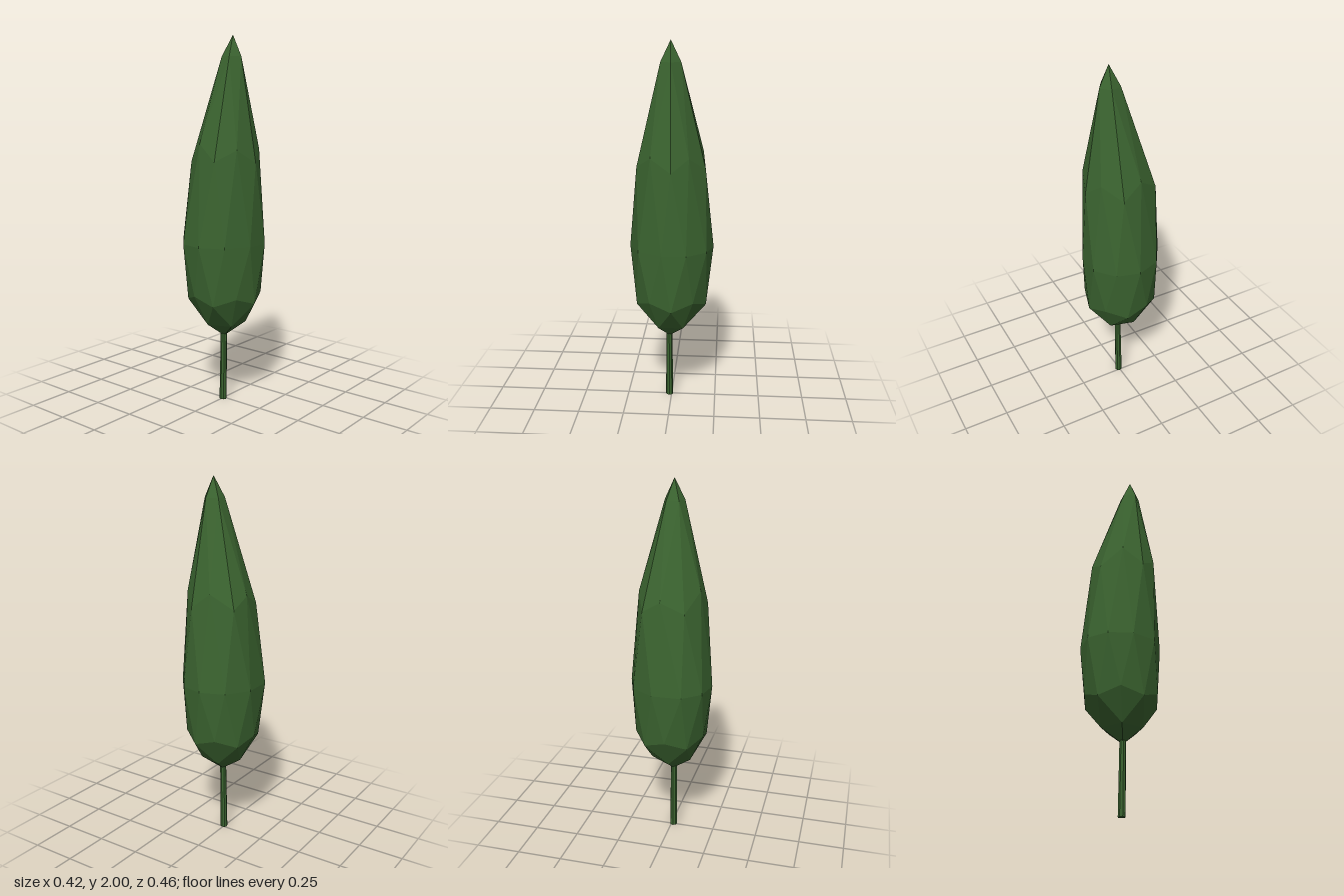
import * as THREE from 'three';

const START = -0.05; // angle of the first facet column

// Ring of n points round (cx, cz); heights alternate between yEven and yOdd
function ring(n, r, yEven, yOdd, cx, cz, turn = 0) {
  return Array.from({ length: n }, (_, i) => {
    const a = START + turn + (i * Math.PI * 2) / n;
    return [cx + r * Math.cos(a), i % 2 ? yOdd : yEven, cz + r * Math.sin(a)];
  });
}

// Faceted crown: a stretched icosphere made of six levels and two tips
function crownGeometry() {
  const step = Math.PI / 5;
  const top = [0.06, 2, 0];
  const neck = ring(5, 0.056, 1.89, 1.89, 0.057, 0);
  const shoulder = [
    [0.205, 1.34, -0.01], [0.165, 1.41, 0.1], [0.08, 1.35, 0.18], [-0.03, 1.44, 0.165], [-0.14, 1.34, 0.105],
    [-0.16, 1.4, -0.02], [-0.145, 1.34, -0.12], [-0.03, 1.42, -0.17], [0.075, 1.34, -0.185], [0.16, 1.41, -0.1],
  ];
  const belly = [
    [0.21, 0.04], [0.14, 0.17], [0.01, 0.227], [-0.12, 0.2], [-0.205, 0.105],
    [-0.21, -0.055], [-0.13, -0.18], [0, -0.23], [0.125, -0.195], [0.21, -0.09],
  ].map(([x, z]) => [x, 0.9, z]);
  const hip = ring(10, 0.2, 0.58, 0.62, 0.003, 0);
  const foot = ring(5, 0.115, 0.45, 0.45, 0.008, 0.003, step);
  const bottom = [0.01, 0.37, 0.01];

  const verts = [];
  const tri = (...points) => points.forEach((p) => verts.push(...p));
  // Zigzag bands between ten-sided levels
  const band = (u, d) => {
    for (let j = 0; j < 10; j++) {
      const k = (j + 1) % 10;
      tri(u[j], u[k], d[j]);
      tri(u[k], d[k], d[j]);
    }
  };
  band(shoulder, belly);
  // The belly sits half a step ahead of the hip
  band(belly, [...hip.slice(1), hip[0]]);

  for (let i = 0; i < 5; i++) {
    const n = (i + 1) % 5;
    // Upper cap
    const s = shoulder, e = 2 * i, prev = (e + 9) % 10;
    tri(top, neck[n], neck[i]);
    tri(neck[i], s[e], s[prev]);
    tri(neck[i], s[e + 1], s[e]);
    tri(neck[i], neck[n], s[e + 1]);
    // Lower cap
    const c = 2 * i + 1, next = (c + 1) % 10;
    tri(bottom, foot[i], foot[n]);
    tri(foot[i], hip[c - 1], hip[c]);
    tri(foot[i], hip[c], hip[next]);
    tri(foot[i], hip[next], foot[n]);
  }
  const geometry = new THREE.BufferGeometry();
  geometry.setAttribute('position', new THREE.Float32BufferAttribute(verts, 3));
  geometry.computeVertexNormals();
  return geometry;
}

export function createModel() {
  const group = new THREE.Group();
  group.name = 'cypressTree';
  const green = new THREE.MeshStandardMaterial({ color: 0x3b6430, flatShading: true });

  const crown = new THREE.Mesh(crownGeometry(), green);
  crown.name = 'crown';

  // Thin trunk, leaning slightly and running up into the crown
  const trunkGeometry = new THREE.CylinderGeometry(0.017, 0.02, 0.45, 8);
  trunkGeometry.translate(0, 0.225, 0);
  const p = trunkGeometry.attributes.position;
  for (let i = 0; i < p.count; i++) p.setX(i, p.getX(i) + 0.003 + 0.015 * p.getY(i));
  const trunk = new THREE.Mesh(trunkGeometry, green);
  trunk.name = 'trunk';
  trunk.position.z = 0.012;

  group.add(crown, trunk);
  return group;
}
